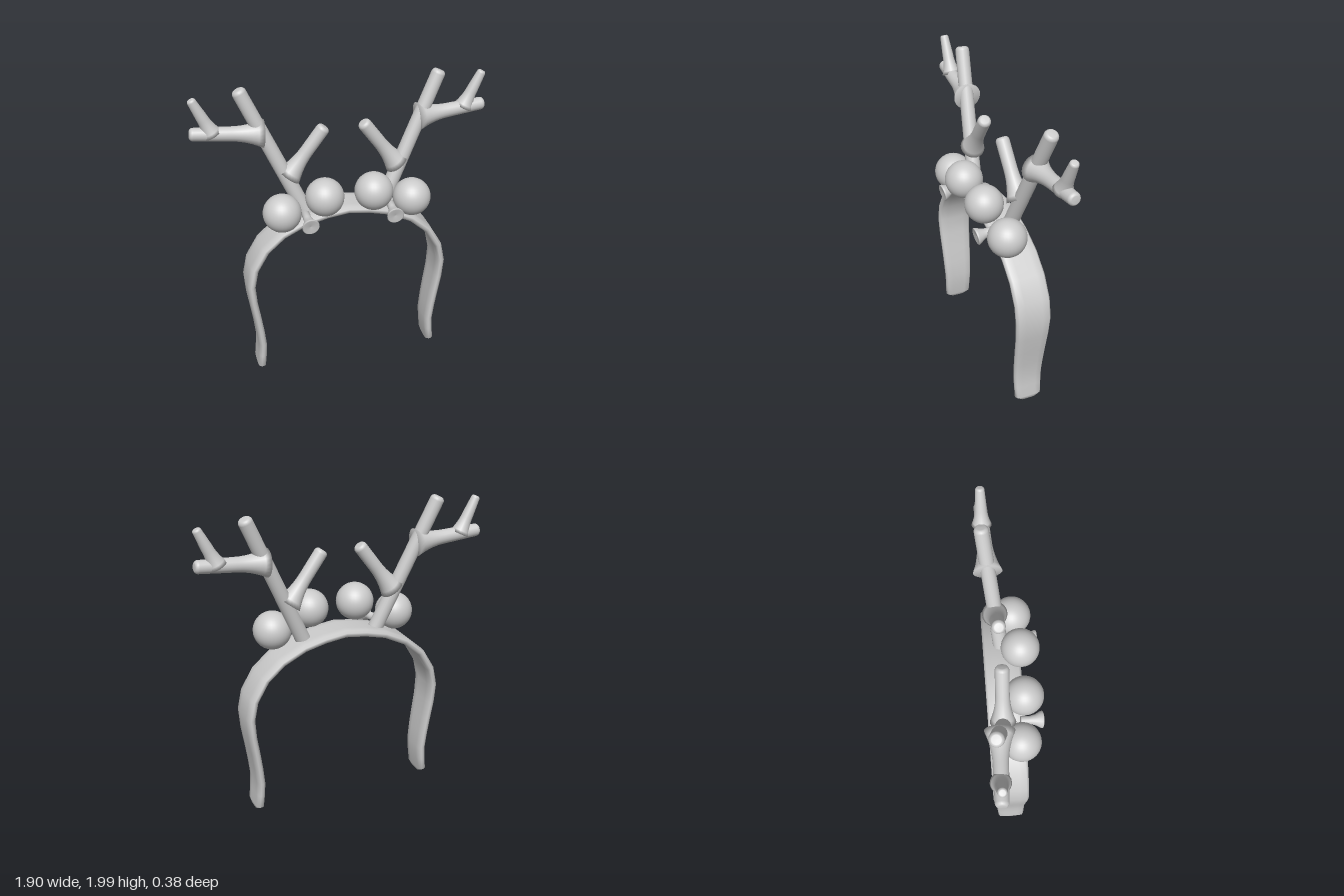
import * as THREE from 'three';

const material = new THREE.MeshStandardMaterial({ color: 0xcccccc });
const UP = new THREE.Vector3(0, 1, 0);

function addMesh(parent, name, geometry) {
  const mesh = new THREE.Mesh(geometry, material);
  mesh.name = name;
  parent.add(mesh);
  return mesh;
}

// Turned shape running from a to b; profile rows are [radius, height 0..1]
function turned(parent, name, a, b, profile) {
  const start = new THREE.Vector3(...a);
  const dir = new THREE.Vector3(...b).sub(start);
  const length = dir.length();
  const points = profile.map(([r, t]) => new THREE.Vector2(r, t * length));
  const mesh = addMesh(parent, name, new THREE.LatheGeometry(points, 20));
  mesh.position.copy(start);
  mesh.quaternion.setFromUnitVectors(UP, dir.normalize());
  return mesh;
}

// Antler limb: flared root, gentle taper, softly rounded tip
function limb(parent, name, a, b, rRoot, rBase, rTip, flareEnd) {
  const length = new THREE.Vector3(...a).distanceTo(new THREE.Vector3(...b));
  const profile = [[0, 0]];
  for (let i = 0; i <= 6; i++) {
    const k = i / 6;
    profile.push([rBase + (rRoot - rBase) * (1 - k) ** 2, k * flareEnd]);
  }
  const round = rTip * 0.6;
  for (let i = 0; i <= 6; i++) {
    const q = (i / 6) * Math.PI / 2;
    const r = i === 6 ? 0 : rTip * (0.45 + 0.55 * Math.cos(q));
    profile.push([r, 1 - (round * (1 - Math.sin(q))) / length]);
  }
  return turned(parent, name, a, b, profile);
}

// Headband: rounded flat section swept along an arch
function headbandGeometry() {
  const half = [
    [0.605, 0.012], [0.603, 0.035], [0.594, 0.12], [0.589, 0.21], [0.601, 0.32], [0.617, 0.43],
    [0.638, 0.56], [0.648, 0.69], [0.622, 0.815], [0.545, 0.945], [0.43, 1.045],
    [0.28, 1.118], [0.14, 1.152],
  ];
  const path = [...half, [0, 1.17], ...half.slice().reverse().map(([x, y]) => [-x, y])];
  const section = [
    [-0.5, -0.15], [-0.44, -0.45], [-0.25, -0.5], [0.25, -0.5], [0.44, -0.45], [0.5, -0.15],
    [0.5, 0.15], [0.44, 0.45], [0.25, 0.5], [-0.25, 0.5], [-0.44, 0.45], [-0.5, 0.15],
  ];
  const n = section.length, last = path.length - 1;
  const positions = [], index = [];
  path.forEach(([x, y], i) => {
    const p = path[Math.max(i - 1, 0)], q = path[Math.min(i + 1, last)];
    const len = Math.hypot(q[0] - p[0], q[1] - p[1]);
    const nx = (q[1] - p[1]) / len, ny = -(q[0] - p[0]) / len;
    const end = i === 0 || i === last;
    const width = end ? 0.1 : 0.175 + 0.06 * Math.min(1, y / 0.7);
    const thick = end ? 0.04 : 0.05;
    for (const [w, t] of section) {
      positions.push(x + nx * t * thick, y + ny * t * thick, -0.058 + w * width);
    }
  });
  for (let i = 0; i < last; i++) {
    for (let j = 0; j < n; j++) {
      const a = i * n + j, b = i * n + (j + 1) % n;
      index.push(a, b, a + n, b, b + n, a + n);
    }
  }
  // End caps
  for (let j = 1; j < n - 1; j++) {
    const e = last * n;
    index.push(0, j + 1, j, e, e + j, e + j + 1);
  }
  const geometry = new THREE.BufferGeometry();
  geometry.setAttribute('position', new THREE.Float32BufferAttribute(positions, 3));
  geometry.setIndex(index);
  geometry.computeVertexNormals();
  return geometry;
}

export function createModel() {
  const model = new THREE.Group();
  model.name = 'antlerHeadband';
  addMesh(model, 'headband', headbandGeometry());

  for (const s of [1, -1]) {
    const side = s > 0 ? 'left' : 'right';
    const antler = new THREE.Group();
    antler.name = side + 'Antler';
    model.add(antler);

    // Main beam and its three tines
    limb(antler, 'mainBeam', [s * 0.25, 1.13, -0.058], [s * 0.642, 1.985, -0.137], 0.05, 0.048, 0.045, 0.1);
    limb(antler, 'innerTine', [s * 0.355, 1.4, -0.085], [s * 0.122, 1.715, -0.072], 0.08, 0.043, 0.043, 0.5);
    limb(antler, 'outerTine', [s * 0.5, 1.695, -0.112], [s * 0.95, 1.732, -0.13], 0.09, 0.046, 0.041, 0.45);
    limb(antler, 'tinyTine', [s * 0.81, 1.72, -0.128], [s * 0.925, 1.955, -0.125], 0.062, 0.036, 0.028, 0.5);

    // Pair of pompoms at the antler foot
    const pompoms = [['outerPompom', 0.428, 1.2, 0.025], ['innerPompom', 0.16, 1.295, 0.06]];
    for (const [name, x, y, z] of pompoms) {
      const ball = addMesh(model, side + name[0].toUpperCase() + name.slice(1), new THREE.SphereGeometry(0.123, 32, 20));
      ball.position.set(s * x, y, z);
    }

    // Small flared bell between the pompoms
    turned(model, side + 'Bell', [s * 0.28, 1.175, 0.03], [s * 0.276, 1.15, 0.168],
      [[0, 0], [0.026, 0], [0.026, 0.4], [0.035, 0.65], [0.052, 0.88], [0.056, 0.97], [0.05, 1], [0, 0.94]]);
  }
  return model;
}
